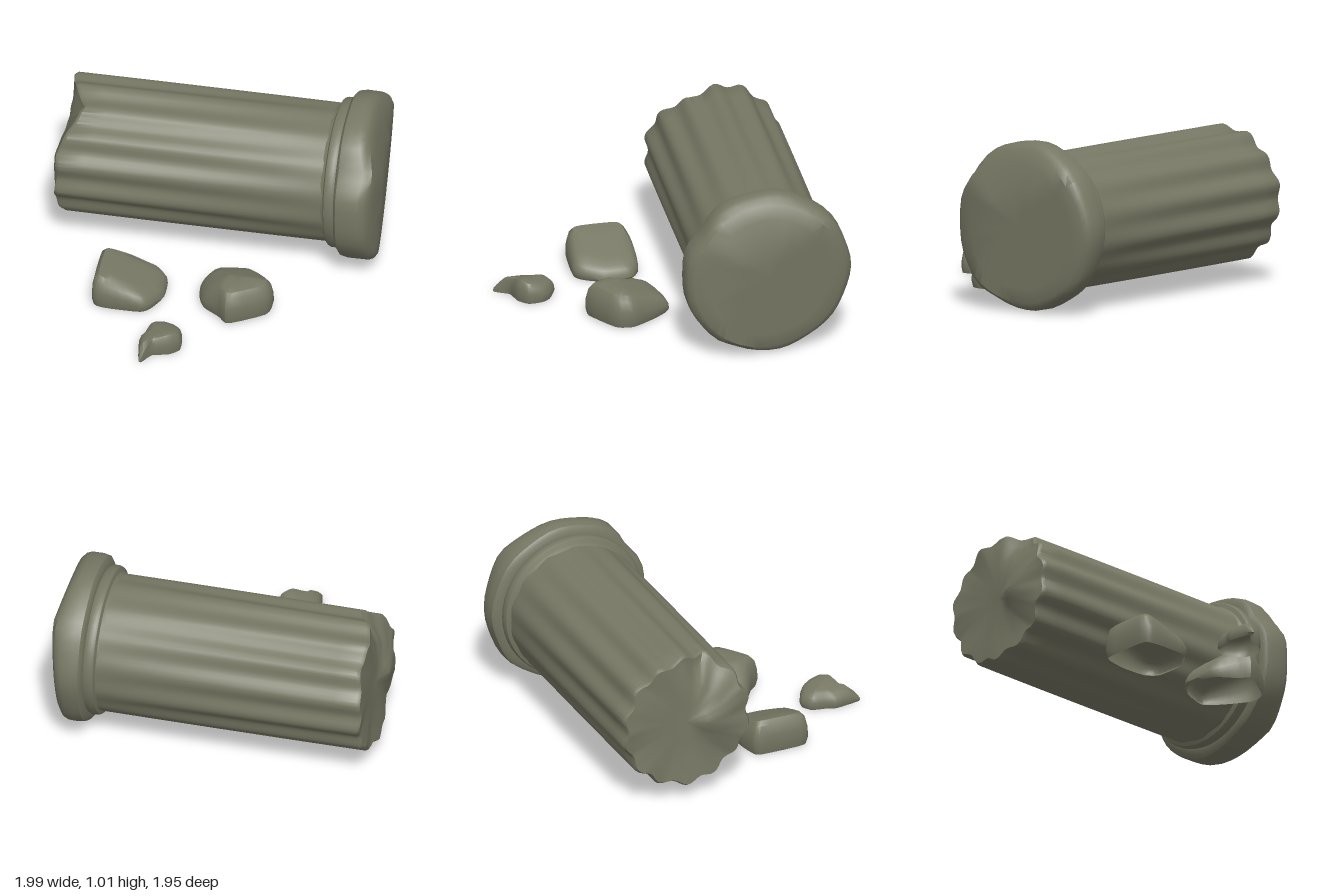
import * as THREE from 'three';
import { toCreasedNormals } from 'three/addons/utils/BufferGeometryUtils.js';

const TAU = Math.PI * 2;

// Skin a run of cross-sections: point(i, j) gives [x, y, z]
function loft(rows, cols, point, crease) {
  const pos = [], idx = [];
  for (let i = 0; i < rows; i++) for (let j = 0; j < cols; j++) pos.push(...point(i, j));
  for (let i = 0; i < rows - 1; i++) {
    for (let j = 0; j < cols; j++) {
      const k = (j + 1) % cols;
      const a = i * cols + j, b = i * cols + k, c = a + cols, d = b + cols;
      idx.push(a, b, c, b, d, c);
    }
  }
  const geo = new THREE.BufferGeometry();
  geo.setAttribute('position', new THREE.Float32BufferAttribute(pos, 3));
  geo.setIndex(idx);
  return toCreasedNormals(geo, crease);
}

// Smooth bump of height 1 around one angle
function bump(t, centre, width) {
  const d = Math.atan2(Math.sin(t - centre), Math.cos(t - centre)) / width;
  return Math.exp(-d * d);
}

// Sample a looping list of values by angle
function around(list, t) {
  const f = (t / TAU) * list.length, i = Math.floor(f) % list.length;
  return THREE.MathUtils.lerp(list[i], list[(i + 1) % list.length], f - Math.floor(f));
}

// Fluted shaft lying along x, with a ragged broken end at -x
function shaftGeometry() {
  const cols = 112, cy = 0.515, cz = -0.483;
  // Break position by angle: top, front, bottom, back
  const edge = [-0.91, -0.83, -0.9, -0.96, -0.95, -0.97, -0.94, -0.96,
    -0.97, -0.95, -0.96, -0.94, -0.96, -0.95, -0.93, -0.95];
  // [scale of radius, distance from the break toward the base 0..1]
  const rings = [[0, 0], [0.3, 0], [0.6, 0], [0.86, 0], [0.97, 0], [1, 0.012],
    [1, 0.1], [1, 0.3], [1, 0.55], [1, 0.8], [1, 0.95], [1, 1]];
  return loft(rings.length, cols, (i, j) => {
    const t = (j / cols) * TAU, [s, f] = rings[i];
    const depth = 0.015 * (1 - 0.8 * f * f);
    const r = s * (0.402 + 0.01 * f + depth * Math.cos(14 * t));
    const inner = -0.945 - 0.055 * bump(t, 1.6, 0.7) * (s > 0 ? 1 : 0);
    const end = THREE.MathUtils.lerp(inner, around(edge, t), THREE.MathUtils.smoothstep(s, 0.5, 0.97));
    return [THREE.MathUtils.lerp(end, 0.67, f), cy + r * Math.cos(t), cz + r * Math.sin(t)];
  }, 0.6);
}

// Collar and thick worn foot, closed by an uneven face at +x
function baseGeometry() {
  const cols = 48, cy = 0.522, cz = -0.48;
  const face = (y, z) => Math.min(
    0.99 + 0.12 * (z + 0.28) + 0.07 * (y - 0.65),
    0.99 - 0.28 * (y - 0.65),
    0.99 - 0.2 * (z + 0.28));
  // [radius, x], or [radius, setback, true] measured from the end face
  const rings = [[0.405, 0.64], [0.415, 0.66], [0.44, 0.67], [0.447, 0.685], [0.447, 0.715],
    [0.44, 0.73], [0.475, 0.735], [0.495, 0.75], [0.503, 0.79],
    [0.502, 0.05, true], [0.488, 0.02, true], [0.455, 0, true], [0.37, 0, true],
    [0.25, 0, true], [0.12, 0, true], [0, 0, true]];
  return loft(rings.length, cols, (i, j) => {
    const t = (j / cols) * TAU, [r0, v, onFace] = rings[i];
    const worn = r0 > 0.46
      ? 0.025 * bump(t, 0.98, 0.2) + 0.018 * bump(t, 2.68, 0.2) + 0.004 * Math.sin(9 * t) : 0;
    const r = r0 - worn;
    const y = cy + r * Math.cos(t), z = cz + r * Math.sin(t);
    return [onFace ? face(y, z) - v : v, y, z];
  }, 0.6);
}

// Broken chunk: a plan outline raised to a height rule, open underneath
function rockGeometry(outline, [cx, cz], floor, top) {
  const curve = new THREE.CatmullRomCurve3(
    outline.map(([x, z]) => new THREE.Vector3(x, 0, z)), true, 'catmullrom', 0.3);
  const cols = 36, pts = curve.getPoints(cols).reverse();
  const rings = [[0.95, 0], [1, 0.2], [0.99, 0.5], [0.92, 0.8], [0.8, 0.95], [0.55, 1], [0.25, 1], [0, 1]];
  return loft(rings.length, cols, (i, j) => {
    const [s, h] = rings[i];
    const x = cx + (pts[j].x - cx) * s, z = cz + (pts[j].z - cz) * s;
    return [x, floor + h * (top(x, z) - floor), z];
  }, 0.7);
}

export function createModel() {
  const model = new THREE.Group();
  model.name = 'brokenColumn';
  const stone = new THREE.MeshStandardMaterial({ color: 0x777764, side: THREE.DoubleSide });
  stone.name = 'weatheredStone';

  const add = (name, geo) => {
    const mesh = new THREE.Mesh(geo, stone);
    mesh.name = name;
    model.add(mesh);
  };

  add('flutedShaft', shaftGeometry());
  add('columnBase', baseGeometry());

  // Wedge-shaped chunk
  add('wedgeRock', rockGeometry(
    [[-0.64, 0.13], [-0.58, 0.09], [-0.46, 0.07], [-0.3, 0.08], [-0.23, 0.14], [-0.22, 0.3],
      [-0.27, 0.42], [-0.33, 0.47], [-0.55, 0.47], [-0.63, 0.43]],
    [-0.44, 0.27], 0.015, (x) => 0.245 - 0.38 * (x + 0.63)));

  // Blocky chunk with a sloping back
  add('blockRock', rockGeometry(
    [[0.19, 0], [0.25, 0], [0.34, 0.1], [0.43, 0.24], [0.41, 0.35], [0.2, 0.49],
      [0.13, 0.43], [0.02, 0.35], [-0.02, 0.24], [-0.02, 0.14], [0.06, 0.05]],
    [0.22, 0.26], 0.02,
    (x, z) => Math.min(0.225, 0.11 + 0.42 * z, 0.1 + 0.75 * (x + 0.02))));

  // Small pointed chip
  add('smallRock', rockGeometry(
    [[-0.16, 0.61], [-0.07, 0.65], [-0.03, 0.7], [-0.02, 0.79], [-0.08, 0.85],
      [-0.18, 0.88], [-0.235, 0.97], [-0.27, 0.8], [-0.25, 0.75], [-0.23, 0.65]],
    [-0.14, 0.77], 0.01,
    (x, z) => Math.min(0.11 + 0.25 * (z - 0.67), 0.15 - 0.9 * (z - 0.85), 0.15 + 0.3 * (x + 0.08))));

  return model;
}
